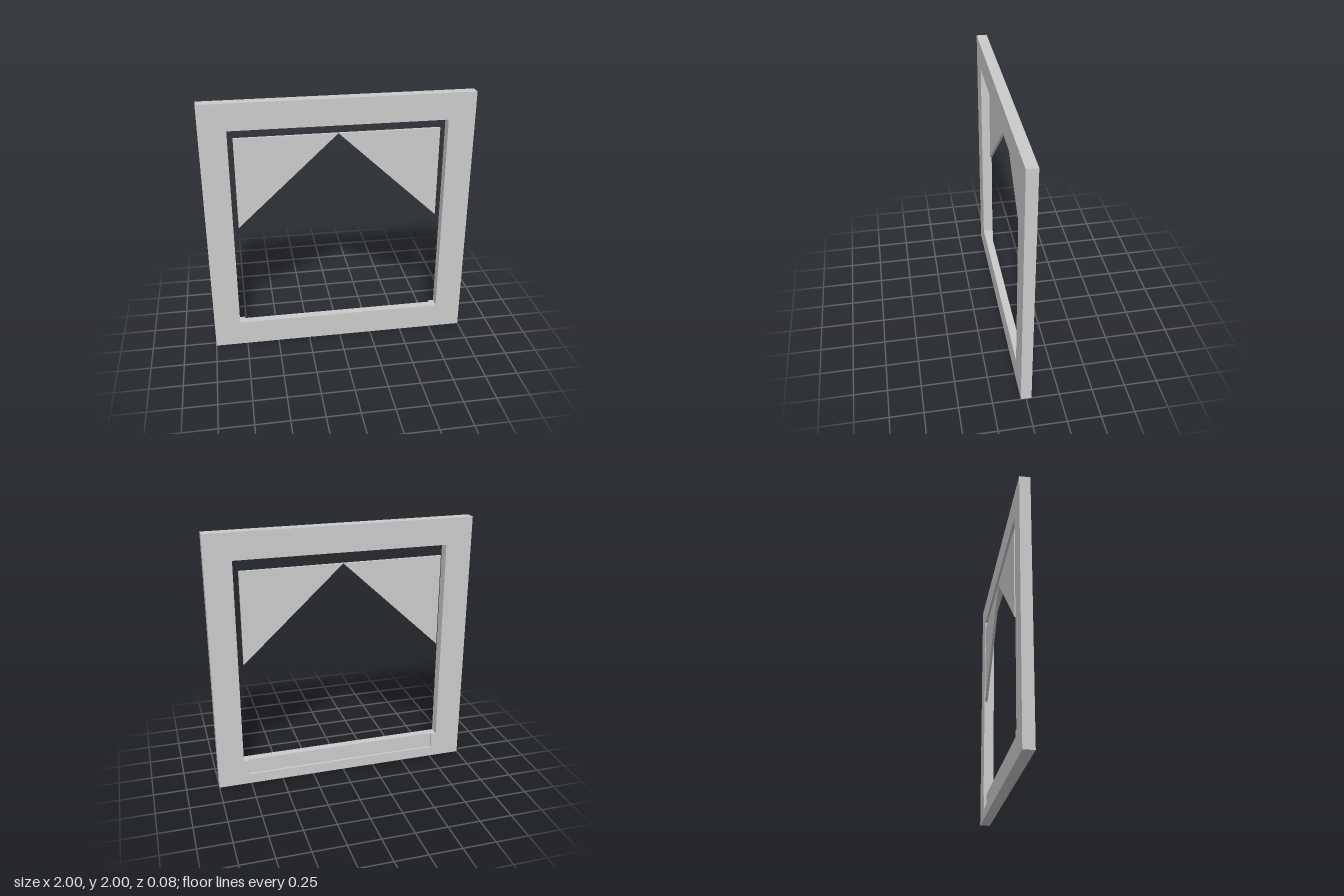
import * as THREE from 'three';

const material = new THREE.MeshStandardMaterial({ color: 0xcccccc, flatShading: true });

const polygon = (Type, points) => new Type(points.map(([x, y]) => new THREE.Vector2(x, y)));

// Flat plate cut from a shape, filling the span zBack..zFront
function plate(name, shape, zBack, zFront) {
  const geometry = new THREE.ExtrudeGeometry(shape, { depth: zFront - zBack, bevelEnabled: false });
  geometry.translate(0, 0, zBack);
  const mesh = new THREE.Mesh(geometry, material);
  mesh.name = name;
  return mesh;
}

// Square frame outline with the given opening
function frameShape(opening) {
  const shape = polygon(THREE.Shape, [[-1, 0], [1, 0], [1, 2], [-1, 2]]);
  shape.holes.push(polygon(THREE.Path, opening));
  return shape;
}

export function createModel() {
  const group = new THREE.Group();
  group.name = 'windowFrame';
  const back = -0.04, step = -0.02, front = 0.04;

  // Main frame with a plain square opening
  group.add(plate('frame', frameShape([
    [-0.8, 0.2], [-0.8, 1.8], [0.8, 1.8], [0.8, 0.2],
  ]), step, front));

  // Rear layer, whose opening drops into a shallow recess in the bottom rail
  group.add(plate('frameBack', frameShape([
    [-0.8, 0.2], [-0.8, 1.8], [0.8, 1.8], [0.8, 0.2],
    [0.76, 0.2], [0.76, 0.08], [-0.76, 0.08], [-0.76, 0.2],
  ]), back, step));

  // Thin triangular corner panels meeting at the top centre
  for (const [name, s] of [['leftPanel', 1], ['rightPanel', -1]]) {
    const corner = polygon(THREE.Shape, [[0, 1.72], [s * 0.76, 1.01], [s * 0.76, 1.72]]);
    group.add(plate(name, corner, back, step));
  }
  return group;
}
